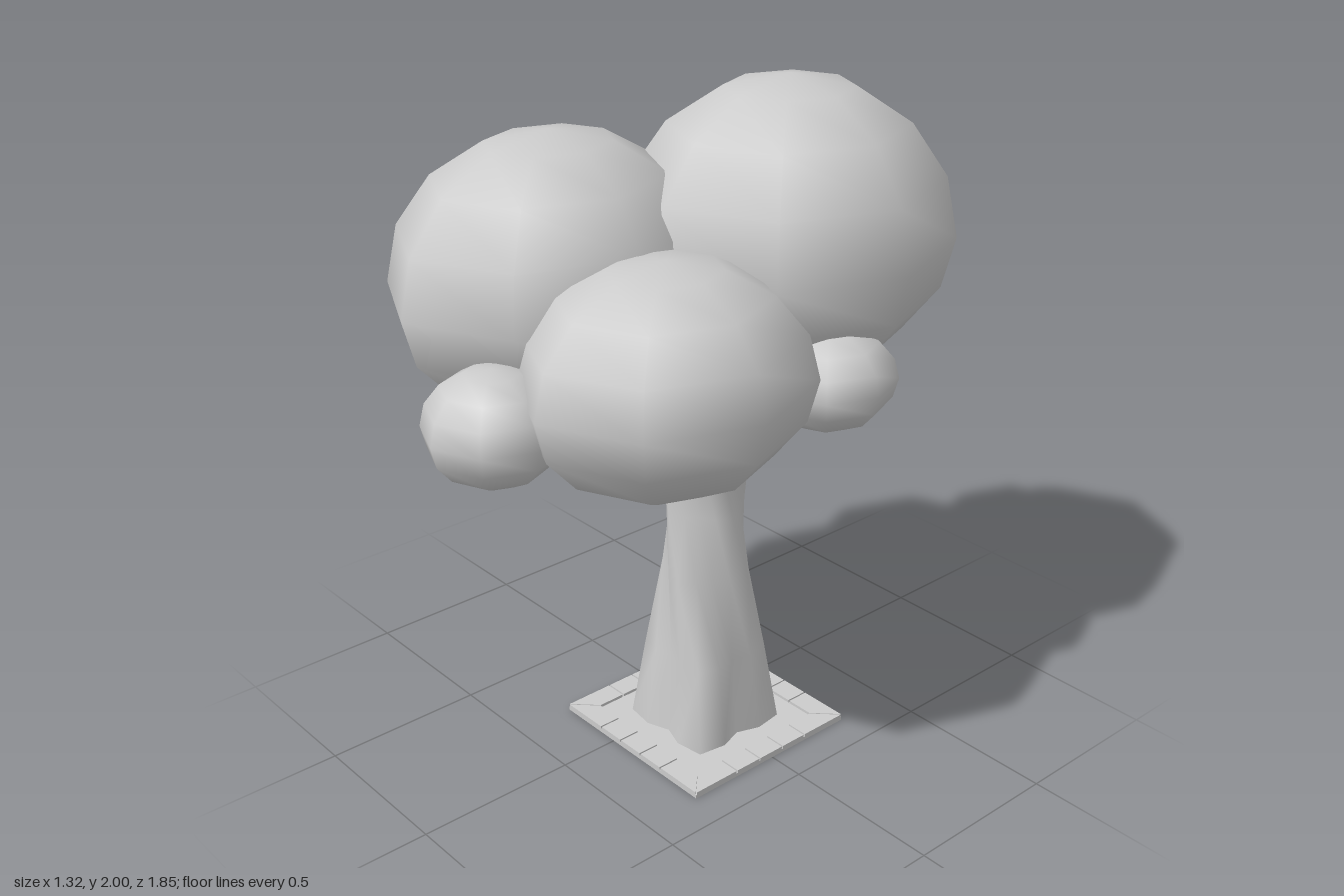
import * as THREE from 'three';

const CX = 0.08; // trunk and planter axis
const material = new THREE.MeshStandardMaterial({ color: 0xcccccc });

function add(parent, geometry, name) {
  const mesh = new THREE.Mesh(geometry, material);
  mesh.name = name;
  parent.add(mesh);
  return mesh;
}

// Low-poly ellipsoid with its own height above and below the middle
function foliageGeometry(rx, rz, up, down) {
  const g = new THREE.SphereGeometry(1, 8, 8);
  const p = g.attributes.position, n = g.attributes.normal, v = new THREE.Vector3();
  for (let i = 0; i < p.count; i++) {
    v.fromBufferAttribute(p, i);
    const ry = v.y > 0 ? up : down;
    p.setXYZ(i, v.x * rx, v.y * ry, v.z * rz);
    v.set(v.x / rx, v.y / ry, v.z / rz).normalize();
    n.setXYZ(i, v.x, v.y, v.z);
  }
  return g;
}

// Twisted trunk: four-lobed rings that turn as they rise
function trunkGeometry() {
  // height, mean radius, lobe depth, twist in degrees
  const rings = [
    [0.005, 0.19, 0.21, 0], [0.27, 0.158, 0.17, 3], [0.55, 0.133, 0.14, 30],
    [0.76, 0.12, 0.13, 50], [0.96, 0.125, 0.13, 70], [1.12, 0.19, 0.15, 88], [1.32, 0.22, 0.12, 95],
  ];
  const sides = 16, points = [], faces = [];
  rings.forEach(([y, radius, depth, twist], i) => {
    for (let j = 0; j < sides; j++) {
      const a = (j / sides) * Math.PI * 2;
      const r = radius * (1 - depth * Math.cos(4 * a));
      const t = a + THREE.MathUtils.degToRad(twist);
      points.push(r * Math.cos(t), y, r * Math.sin(t));
      if (i === 0) continue;
      const k = (j + 1) % sides, lo = (i - 1) * sides, hi = i * sides;
      faces.push(lo + j, hi + j, lo + k, lo + k, hi + j, hi + k);
    }
  });
  const g = new THREE.BufferGeometry();
  g.setAttribute('position', new THREE.Float32BufferAttribute(points, 3));
  g.setIndex(faces);
  g.computeVertexNormals();
  return g;
}

// Flat slab from an outline given in x and z
function slab(corners, height) {
  const shape = new THREE.Shape(corners.map(([x, z]) => new THREE.Vector2(x, -z)));
  const g = new THREE.ExtrudeGeometry(shape, { depth: height, bevelEnabled: false });
  return g.rotateX(-Math.PI / 2);
}

function createPlanter() {
  const planter = new THREE.Group();
  planter.name = 'planter';
  const half = 0.305;
  add(planter, new THREE.BoxGeometry(half * 2, 0.011, half * 2).translate(0, 0.0055, 0), 'groundPlate');

  // Border stones with mitred corners, one row per side
  const outer = half, inner = 0.235, gap = 0.005, count = 5;
  for (let s = 0; s < 4; s++) {
    const row = new THREE.Group();
    row.name = 'stoneRow';
    row.rotation.y = (s * Math.PI) / 2;
    const step = (2 * inner) / count;
    for (let i = 0; i < count; i++) {
      const x0 = -inner + i * step, x1 = x0 + step;
      const first = i === 0, last = i === count - 1;
      const stone = slab([
        [first ? -outer + gap / 2 : x0 + gap / 2, outer],
        [last ? outer - gap / 2 : x1 - gap / 2, outer],
        [x1 - gap / 2, inner],
        [x0 + gap / 2, inner],
      ], 0.02);
      add(row, stone, 'borderStone');
    }
    planter.add(row);
  }
  return planter;
}

export function createModel() {
  const tree = new THREE.Group();
  tree.name = 'tree';

  const planter = createPlanter();
  planter.position.set(CX, 0, 0.005);
  tree.add(planter);

  add(tree, trunkGeometry(), 'trunk').position.set(CX, 0, 0.005);

  // Foliage: centre x, y, z, then radius x, z, height up, down
  const foliage = [
    ['topFoliage', 0.07, 1.52, -0.315, 0.48, 0.51, 0.48, 0.4],
    ['rightFoliage', -0.232, 1.45, 0.31, 0.43, 0.505, 0.44, 0.36],
    ['leftFoliage', 0.27, 1.31, 0.32, 0.39, 0.435, 0.335, 0.32],
    ['backRightFoliage', -0.34, 1.25, -0.28, 0.285, 0.3, 0.25, 0.23],
    ['frontTuft', 0.04, 1.21, 0.72, 0.2, 0.2, 0.17, 0.16],
    ['leftTuft', 0.38, 1.21, -0.185, 0.2, 0.205, 0.155, 0.15],
    ['backTuft', -0.19, 1.28, -0.69, 0.22, 0.235, 0.19, 0.18],
  ];
  for (const [name, x, y, z, ...size] of foliage) {
    add(tree, foliageGeometry(...size), name).position.set(x, y, z);
  }
  return tree;
}
